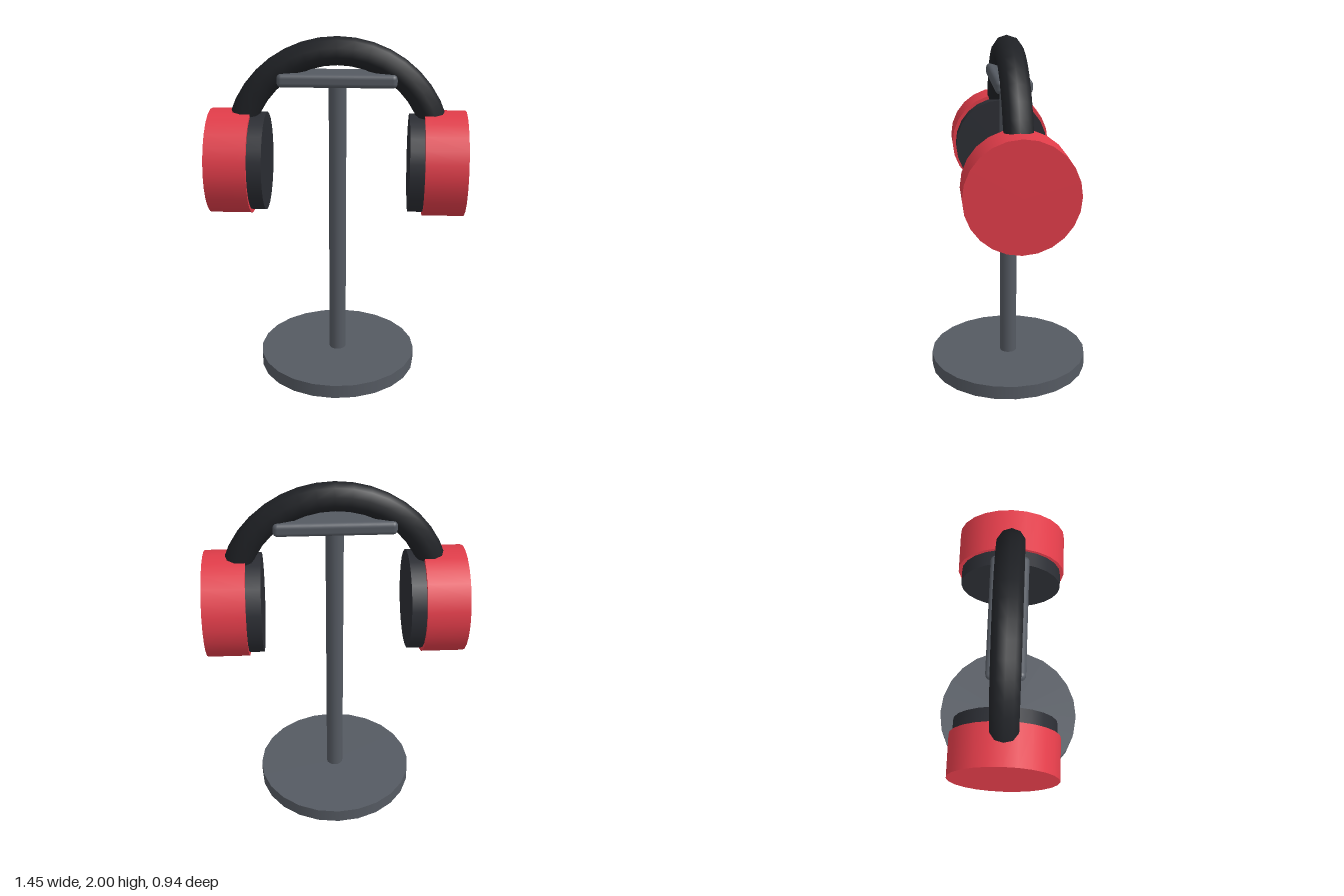
import * as THREE from 'three';
import { RoundedBoxGeometry } from 'three/addons/geometries/RoundedBoxGeometry.js';

const material = (color) => new THREE.MeshStandardMaterial({ color });

export function createModel() {
  const model = new THREE.Group();
  model.name = 'headphonesOnStand';

  const standGrey = material(0x555a62);
  const bandBlack = material(0x1f2125);
  const padBlack = material(0x2b2d33);
  const cupRed = material(0xe03c49);

  const add = (name, geometry, mat, x, y, parent = model) => {
    const mesh = new THREE.Mesh(geometry, mat);
    mesh.name = name;
    mesh.position.set(x, y, 0);
    parent.add(mesh);
    return mesh;
  };

  // Stand: round foot, slim post and rounded rest
  const stand = new THREE.Group();
  stand.name = 'stand';
  model.add(stand);
  add('base', new THREE.CylinderGeometry(0.47, 0.47, 0.08, 24), standGrey, 0, 0.04, stand);
  add('post', new THREE.CylinderGeometry(0.05, 0.05, 1.68, 16), standGrey, 0, 0.91, stand);
  add('rest', new RoundedBoxGeometry(0.665, 0.076, 0.2, 3, 0.026), standGrey, 0, 1.767, stand);

  // Headband: half ring whose ends are buried in the cups
  add('headband', new THREE.TorusGeometry(0.565, 0.08, 10, 20, Math.PI), bandBlack, 0, 1.355);

  // Ear cups with inner pads, lying along x
  const disc = (radius, width) =>
    new THREE.CylinderGeometry(radius, radius, width, 24).rotateZ(Math.PI / 2);
  for (const [label, side] of [['left', 1], ['right', -1]]) {
    const ear = new THREE.Group();
    ear.name = label + 'Earpiece';
    model.add(ear);
    add(label + 'Cup', disc(0.302, 0.235), cupRed, side * 0.606, 1.282, ear);
    add(label + 'Pad', disc(0.282, 0.12), padBlack, side * 0.466, 1.282, ear);
  }

  return model;
}
